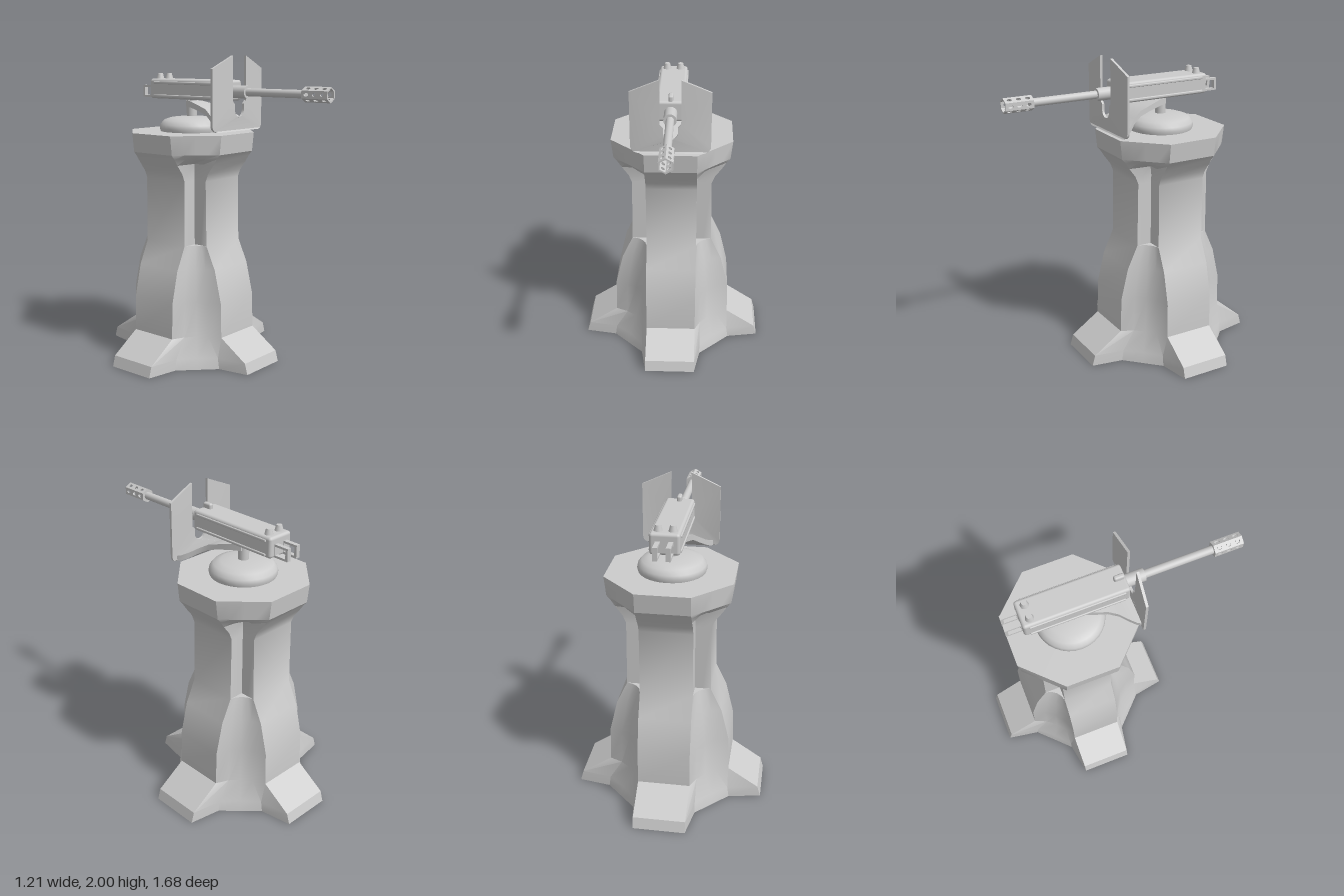
import * as THREE from 'three';
import { toCreasedNormals } from 'three/addons/utils/BufferGeometryUtils.js';
import { RoundedBoxGeometry } from 'three/addons/geometries/RoundedBoxGeometry.js';

const material = new THREE.MeshStandardMaterial({ color: 0xcccccc, side: THREE.DoubleSide });
const TOWER_Z = -0.235;
const BORE_Y = 1.775;

function add(parent, name, geometry, x = 0, y = 0, z = 0) {
  const mesh = new THREE.Mesh(geometry, material);
  mesh.name = name;
  mesh.position.set(x, y, z);
  parent.add(mesh);
  return mesh;
}

// Four-armed tower, open underneath: each ring is mirrored and turned around the axis
function towerGeometry() {
  const w = 0.165; // half width of an arm
  // height, arm reach, flank point (a, b), depth of the corner between arms
  const rings = [
    [0, 0.605, 0.4, 0.2, 0.3],
    [0.07, 0.585, 0.39, 0.2, 0.288],
    [0.2, 0.39, 0.31, 0.2, 0.25],
    [0.43, 0.385, 0.305, 0.197, 0.243],
    [0.64, 0.335, 0.27, 0.185, 0.222],
    [0.79, 0.265, 0.228, 0.175, 0.197],
    [0.79, 0.265, 0.215, 0.165, 0.165],
    [1.21, 0.26, 0.215, 0.165, 0.165],
    [1.26, 0.28, 0.225, 0.165, 0.165],
    [1.32, 0.325, 0.25, 0.175, 0.18],
    [1.36, 0.352, 0.3, 0.21, 0.25],
    [1.388, 0.376, 0.323, 0.218, 0.2705],
    [1.51, 0.39, 0.334, 0.221, 0.2775],
  ];
  const positions = [], index = [], n = 20;
  for (const [y, r, a, b, m] of rings) {
    for (let q = 0; q < 4; q++) {
      const c = Math.round(Math.cos(q * Math.PI / 2)), s = Math.round(Math.sin(q * Math.PI / 2));
      for (const [x, z] of [[r, w], [a, b], [m, m], [b, a], [w, r]]) {
        positions.push(x * c - z * s, y, x * s + z * c);
      }
    }
  }
  for (let k = 0; k < rings.length - 1; k++) {
    for (let i = 0; i < n; i++) {
      const p = k * n + i, q = k * n + (i + 1) % n;
      index.push(p, p + n, q, q, p + n, q + n);
    }
  }
  // top deck
  const top = (rings.length - 1) * n, centre = positions.length / 3;
  positions.push(0, 1.51, 0);
  for (let i = 0; i < n; i++) index.push(centre, top + (i + 1) % n, top + i);
  const g = new THREE.BufferGeometry();
  g.setAttribute('position', new THREE.Float32BufferAttribute(positions, 3));
  g.setIndex(index);
  return toCreasedNormals(g, 0.5);
}

// Split shield with a rounded slot for the gun, ends bent slightly back
function shieldGeometry() {
  const s = new THREE.Shape();
  s.moveTo(-0.2, 1.53);
  s.lineTo(0.2, 1.53);
  s.quadraticCurveTo(0.247, 1.535, 0.247, 1.575);
  s.lineTo(0.247, 1.92);
  s.lineTo(0.065, 2.0);
  s.lineTo(0.065, 1.72);
  s.lineTo(0.045, 1.7);
  s.lineTo(0.045, 1.665);
  s.absarc(0, 1.665, 0.045, 0, -Math.PI, true);
  s.lineTo(-0.045, 1.7);
  s.lineTo(-0.065, 1.72);
  s.lineTo(-0.065, 2.0);
  s.lineTo(-0.247, 1.92);
  s.lineTo(-0.247, 1.575);
  s.quadraticCurveTo(-0.247, 1.535, -0.2, 1.53);
  const g = new THREE.ExtrudeGeometry(s, { depth: 0.016, bevelEnabled: false, curveSegments: 8 });
  const p = g.attributes.position;
  for (let i = 0; i < p.count; i++) {
    p.setZ(i, p.getZ(i) + 0.15 - 0.25 * Math.max(0, Math.abs(p.getX(i)) - 0.19));
  }
  return toCreasedNormals(g, 0.5);
}

// Curved sheet sweeping from the post to the foot of the shield
function bracketGeometry() {
  // z, y, half width, thickness
  const sections = [
    [-0.25, 1.69, 0.04, 0.04], [-0.19, 1.685, 0.06, 0.04], [-0.1, 1.665, 0.085, 0.035],
    [-0.03, 1.645, 0.1, 0.035], [0.03, 1.61, 0.125, 0.035], [0.08, 1.575, 0.165, 0.035],
    [0.12, 1.555, 0.195, 0.035], [0.155, 1.548, 0.21, 0.03],
  ];
  const n = sections.length - 1;
  const g = new THREE.BoxGeometry(2, 1, 1, 1, 1, n);
  const p = g.attributes.position;
  for (let i = 0; i < p.count; i++) {
    const [z, y, half, t] = sections[Math.round((p.getZ(i) + 0.5) * n)];
    p.setXYZ(i, p.getX(i) * half, y + p.getY(i) * t, z);
  }
  return toCreasedNormals(g, 0.6);
}

// Cylinder lying along z
function rod(parent, name, radius, z0, z1, sides = 20) {
  const g = new THREE.CylinderGeometry(radius, radius, z1 - z0, sides).rotateX(Math.PI / 2);
  return add(parent, name, g, 0, BORE_Y, (z0 + z1) / 2);
}

// Hexagonal muzzle made of six pierced panels
function addMuzzle(parent) {
  const muzzle = new THREE.Group();
  muzzle.name = 'muzzleBrake';
  muzzle.position.set(0, BORE_Y, 0.66);
  parent.add(muzzle);
  const half = 0.0235, length = 0.18;
  const s = new THREE.Shape();
  s.moveTo(0, -half);
  s.lineTo(length, -half);
  s.lineTo(length, half);
  s.lineTo(0, half);
  for (const u of [0.033, 0.09, 0.147]) {
    const hole = new THREE.Path();
    hole.absellipse(u, 0, 0.016, 0.011, 0, Math.PI * 2, true);
    s.holes.push(hole);
  }
  const g = new THREE.ExtrudeGeometry(s, { depth: 0.008, bevelEnabled: false, curveSegments: 8 });
  g.rotateY(-Math.PI / 2).translate(-0.0327, 0, 0);
  for (let i = 0; i < 6; i++) add(muzzle, 'muzzlePanel', g).rotation.z = i * Math.PI / 3;
  add(muzzle, 'muzzleBase', new THREE.CylinderGeometry(0.046, 0.046, 0.008, 6).rotateX(Math.PI / 2), 0, 0, 0.004);
}

export function createModel() {
  const model = new THREE.Group();
  model.name = 'gunTower';
  add(model, 'tower', towerGeometry(), 0, 0, TOWER_Z);

  // Turntable dome and post
  const dome = [[0.205, 1.505], [0.213, 1.53], [0.208, 1.555], [0.185, 1.583], [0.14, 1.598], [0.07, 1.606], [0, 1.608]];
  add(model, 'turntable', new THREE.LatheGeometry(dome.map(([x, y]) => new THREE.Vector2(x, y)), 32), 0, 0, TOWER_Z);
  add(model, 'post', new THREE.CylinderGeometry(0.034, 0.034, 0.13, 20), 0, 1.66, TOWER_Z);
  add(model, 'shieldBracket', bracketGeometry());
  add(model, 'shield', shieldGeometry());

  // Gun body with side rails
  const gun = new THREE.Group();
  gun.name = 'gun';
  model.add(gun);
  add(gun, 'receiver', new RoundedBoxGeometry(0.178, 0.13, 0.645, 3, 0.018), 0, 1.782, -0.208);
  for (const side of [-1, 1]) {
    for (const y of [1.735, 1.822]) {
      add(gun, 'sideRail', new RoundedBoxGeometry(0.016, 0.018, 0.58, 2, 0.006), side * 0.088, y, -0.205);
    }
    // rear knobs
    add(gun, 'rearKnob', new THREE.CylinderGeometry(0.017, 0.028, 0.04, 12), side * 0.043, 1.862, -0.475);
    // rear grips: open rectangular loops
    const loop = new THREE.Shape([[0, 0], [0.11, 0], [0.11, 0.08], [0, 0.08]].map(([x, y]) => new THREE.Vector2(x, y)));
    loop.holes.push(new THREE.Path([[0.015, 0.013], [0.015, 0.067], [0.093, 0.067], [0.093, 0.013]].map(([x, y]) => new THREE.Vector2(x, y))));
    const grip = new THREE.ExtrudeGeometry(loop, { depth: 0.028, bevelEnabled: false });
    grip.rotateY(Math.PI / 2).translate(-0.014, 0, 0);
    add(gun, 'rearGrip', grip, side * 0.038, 1.722, -0.52);
  }
  add(gun, 'frontSight', new RoundedBoxGeometry(0.03, 0.05, 0.065, 2, 0.012), 0, 1.855, 0.075);

  // Barrel
  rod(gun, 'barrelSleeve', 0.04, 0.1, 0.232);
  rod(gun, 'barrel', 0.025, 0.22, 0.665);
  addMuzzle(gun);
  return model;
}
